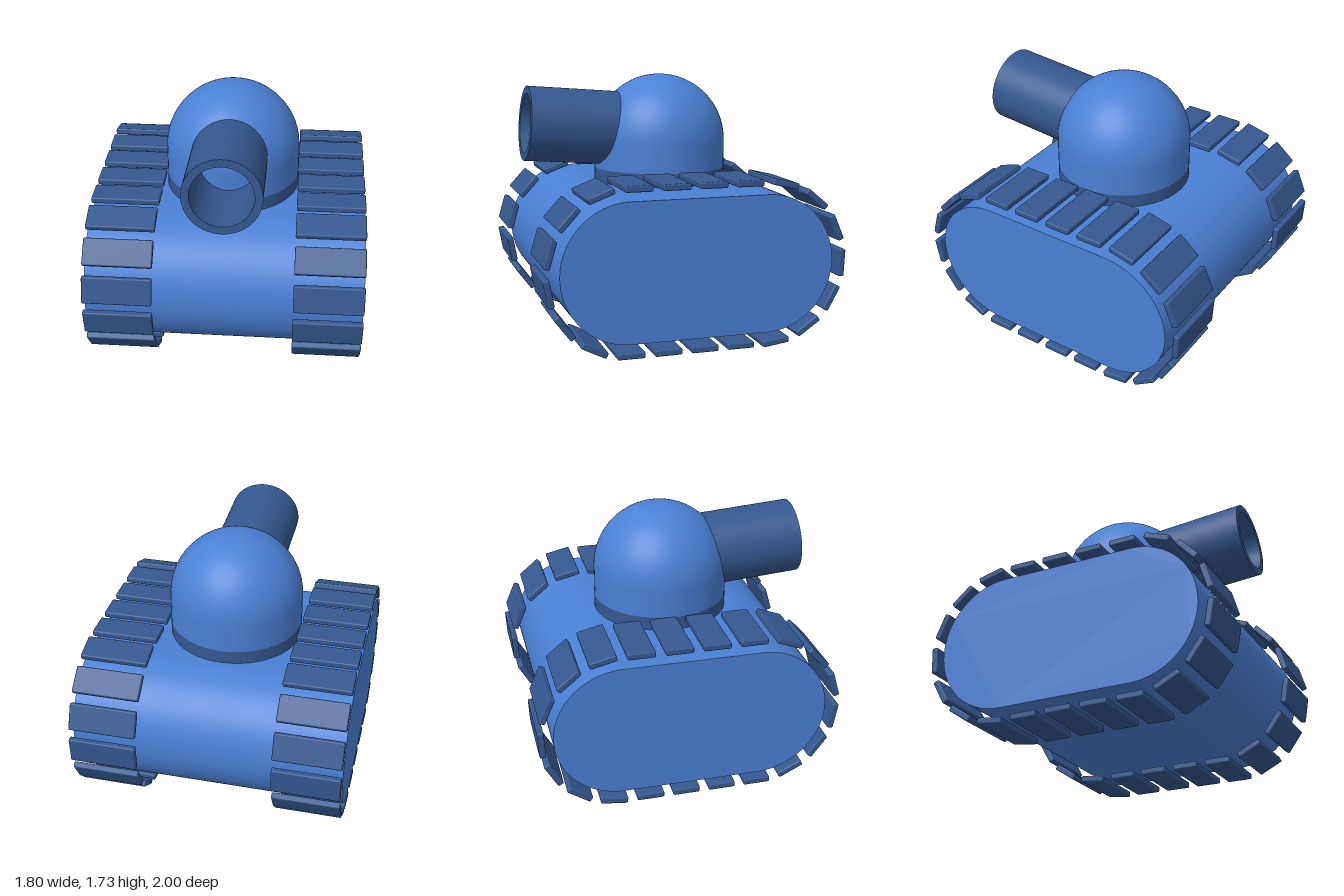
import * as THREE from 'three';
import { RoundedBoxGeometry } from 'three/addons/geometries/RoundedBoxGeometry.js';

const R = 0.45;          // hull end radius, turret radius
const MID_Y = 0.55;      // height of the hull's centre line
const TRACK_R = 0.525;   // radius of the track loop around the hull ends
const PADS = 21;

// Point on the track loop at arc length s, starting at the top front and running backwards.
function trackPoint(s) {
  const straight = 2 * R, arc = Math.PI * TRACK_R;
  const half = straight + arc;
  const loop = 2 * half;
  s = ((s % loop) + loop) % loop;
  const flip = s >= half;
  if (flip) s -= half;
  const angle = Math.max(0, s - straight) / TRACK_R;
  let z = R - Math.min(s, straight) - TRACK_R * Math.sin(angle);
  let y = TRACK_R * Math.cos(angle);
  if (flip) { z = -z; y = -y; }
  return { y: MID_Y + y, z, angle: -angle - (flip ? Math.PI : 0) };
}

export function createModel() {
  const model = new THREE.Group();
  const light = new THREE.MeshStandardMaterial({ color: 0x4a80d4 });
  const dark = new THREE.MeshStandardMaterial({ color: 0x34588f });

  const add = (name, geometry, material, parent = model) => {
    const mesh = new THREE.Mesh(geometry, material);
    mesh.name = name;
    parent.add(mesh);
    return mesh;
  };

  // Hull: a stadium outline extruded across the full width
  const outline = new THREE.Shape();
  outline.moveTo(-R, -R);
  outline.lineTo(R, -R);
  outline.absarc(R, 0, R, -Math.PI / 2, Math.PI / 2, false);
  outline.lineTo(-R, R);
  outline.absarc(-R, 0, R, Math.PI / 2, Math.PI * 1.5, false);
  const hullGeo = new THREE.ExtrudeGeometry(outline, { depth: 1.8, bevelEnabled: false, curveSegments: 48 });
  hullGeo.translate(0, 0, -0.9);
  hullGeo.rotateY(Math.PI / 2);
  add('hull', hullGeo, light).position.y = MID_Y;

  // Turret: dark ring, then a short wall rounded off by a dome
  add('turretRing', new THREE.CylinderGeometry(R, R, 0.1, 64), dark).position.y = 1.04;
  const profile = [new THREE.Vector2(R, 1.09)];
  for (let i = 0; i <= 24; i++) {
    const a = (i / 24) * Math.PI / 2;
    profile.push(new THREE.Vector2(R * Math.cos(a), 1.275 + R * Math.sin(a)));
  }
  add('turretDome', new THREE.LatheGeometry(profile, 64), light);

  // Barrel: open thick-walled tube, tilted slightly upwards
  const tube = new THREE.Shape().absarc(0, 0, 0.25, 0, Math.PI * 2, false);
  tube.holes.push(new THREE.Path().absarc(0, 0, 0.2, 0, Math.PI * 2, true));
  const barrelGeo = new THREE.ExtrudeGeometry(tube, { depth: 0.72, bevelEnabled: false, curveSegments: 48 });
  barrelGeo.translate(0, 0, -0.72);
  const barrel = add('barrel', barrelGeo, dark);
  barrel.position.set(0, 1.408, 0.935);
  barrel.rotation.x = -0.077;

  // Tracks: evenly spaced pads around each end of the hull
  const padGeo = new RoundedBoxGeometry(0.45, 0.042, 0.18, 3, 0.01);
  const step = (4 * R + 2 * Math.PI * TRACK_R) / PADS;
  for (const [name, side] of [['leftTrack', 1], ['rightTrack', -1]]) {
    const track = new THREE.Group();
    track.name = name;
    for (let i = 0; i < PADS; i++) {
      const p = trackPoint(0.052 + i * step);
      const pad = add('trackPad', padGeo, dark, track);
      pad.position.set(side * 0.675, p.y, p.z);
      pad.rotation.x = p.angle;
    }
    model.add(track);
  }
  return model;
}
